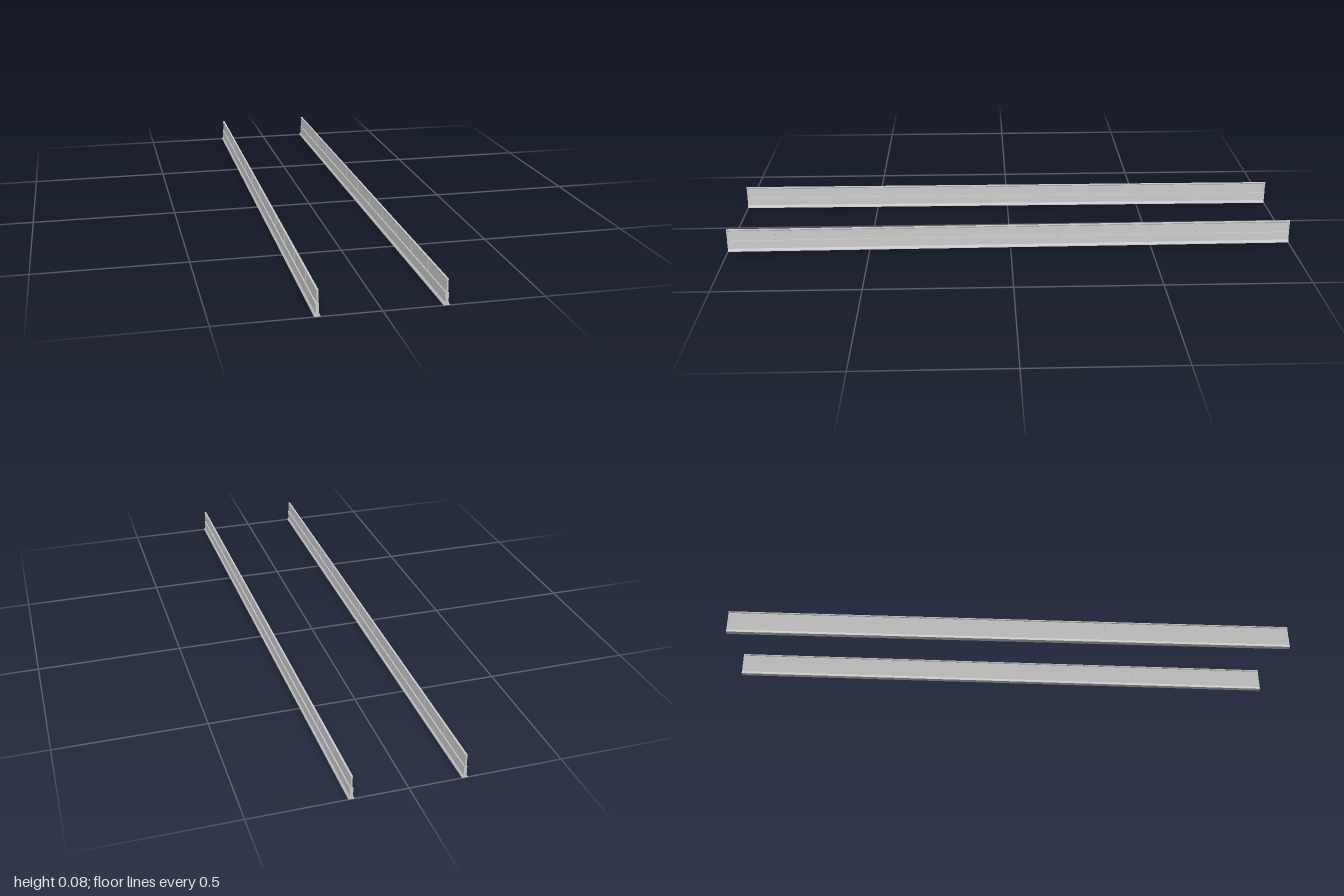
import * as THREE from 'three';

const material = new THREE.MeshStandardMaterial({ color: 0xcccccc, flatShading: true });
const FRONT_X = 0.1925, BACK_X = 0.1795; // the two walls converge toward the back
const BAYS = 12;

function part(name, geometry) {
  const mesh = new THREE.Mesh(geometry, material);
  mesh.name = name;
  return mesh;
}

// Symmetric cross-section from [halfWidth, y] pairs, run along the full length
function run(name, half) {
  const points = [...half, ...half.map(([x, y]) => [-x, y]).reverse()];
  const shape = new THREE.Shape(points.map(([x, y]) => new THREE.Vector2(x, y)));
  const geometry = new THREE.ExtrudeGeometry(shape, { depth: 2, bevelEnabled: false });
  return part(name, geometry.translate(0, 0, -1));
}

function box(name, w, h, d, y, z) {
  return part(name, new THREE.BoxGeometry(w, h, d).translate(0, y, z));
}

function createBarrier(name, side) {
  const barrier = new THREE.Group();
  barrier.name = name;

  // Flared foot and thick lower body
  barrier.add(run('base', [[0.0095, 0], [0.009, 0.003], [0.005, 0.01], [0.005, 0.04]]));
  // Thin upper panel and the cap rail along its top
  barrier.add(run('upperPanel', [[0.0012, 0.04], [0.0012, 0.079]]));
  barrier.add(run('capRail', [[0.002, 0.077], [0.0032, 0.079], [0.0032, 0.082], [0.0032, 0.0825]]));

  // Evenly spaced posts, the outer two flush with the ends
  for (let i = 0; i <= BAYS; i++) {
    const z = THREE.MathUtils.clamp(-1 + (2 * i) / BAYS, -0.998, 0.998);
    barrier.add(box('post', 0.005, 0.039, 0.004, 0.0585, z));
  }

  // Skew the whole wall sideways along its length, keeping the ends square
  const slope = (side * (FRONT_X - BACK_X)) / 2;
  const skew = new THREE.Matrix4().set(
    1, 0, slope, (side * (FRONT_X + BACK_X)) / 2,
    0, 1, 0, 0,
    0, 0, 1, 0,
    0, 0, 0, 1
  );
  barrier.children.forEach((mesh) => mesh.geometry.applyMatrix4(skew));
  return barrier;
}

export function createModel() {
  const model = new THREE.Group();
  model.name = 'barriers';
  model.add(createBarrier('leftBarrier', 1), createBarrier('rightBarrier', -1));
  return model;
}
